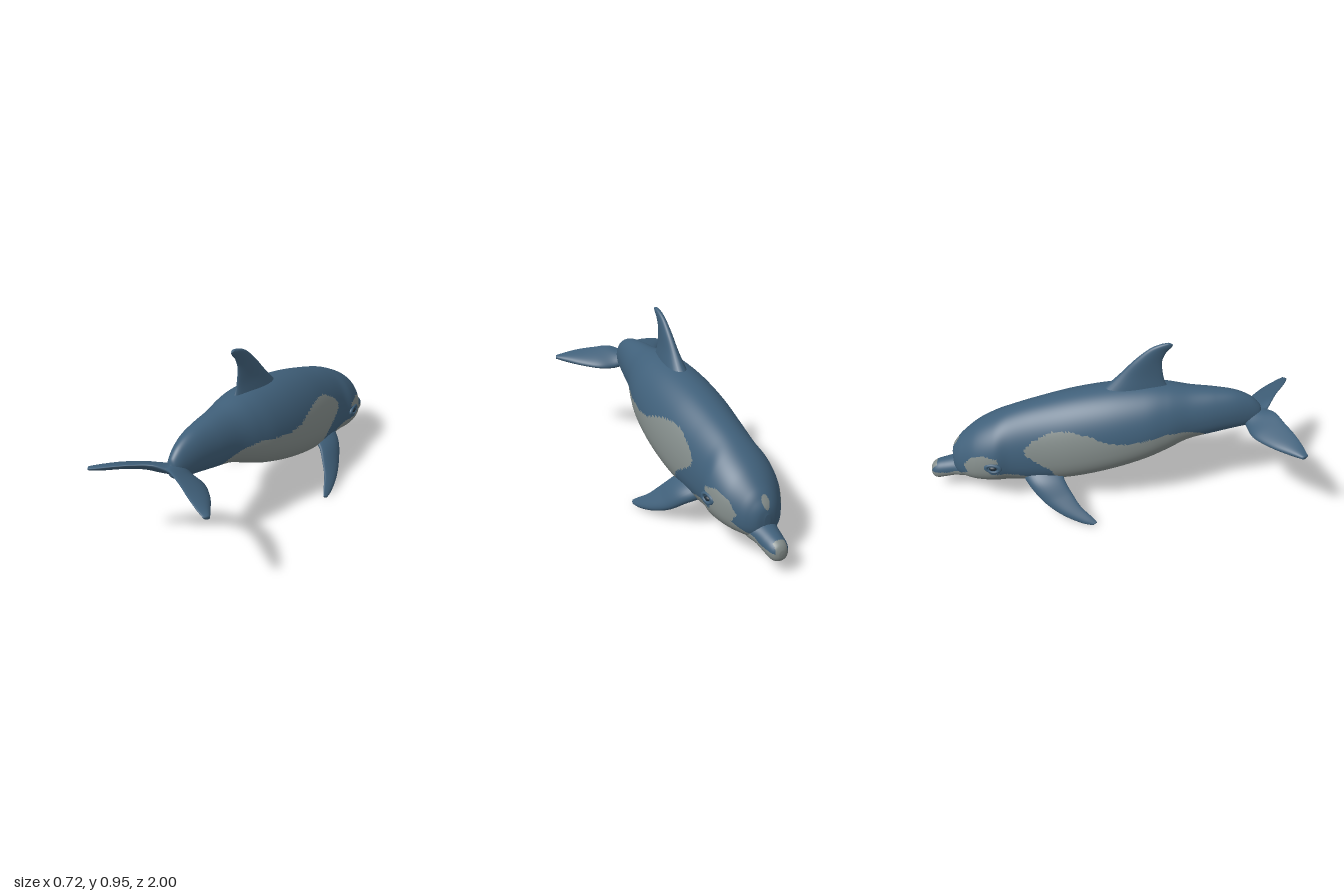
import * as THREE from 'three';

const mat = (name, color) => {
  const m = new THREE.MeshStandardMaterial({ color });
  m.name = name;
  return m;
};
const V = (x, y, z) => new THREE.Vector3(x, y, z);

// Skin a list of rings, close both ends, and sort faces into material groups
function loft(rings, classify) {
  const n = rings[0].length, pts = rings.flat(), tris = [];
  const add = (a, b, c) => tris.push([a, b, c]);
  for (let i = 0; i < rings.length - 1; i++)
    for (let j = 0; j < n; j++) {
      const a = i * n + j, b = i * n + (j + 1) % n;
      add(a, b, a + n);
      add(b, b + n, a + n);
    }
  [0, rings.length - 1].forEach((r) => {
    const mid = rings[r].reduce((s, p) => s.add(p), V(0, 0, 0)).divideScalar(n);
    const k = pts.push(mid) - 1;
    for (let j = 0; j < n; j++) {
      const a = r * n + j, b = r * n + (j + 1) % n;
      if (r) add(a, b, k); else add(b, a, k);
    }
  });
  // Turn all faces outward
  const vol = tris.reduce((s, [a, b, c]) => s + pts[a].dot(pts[b].clone().cross(pts[c])), 0);
  if (vol < 0) tris.forEach((t) => t.reverse());
  const bins = [[], []];
  tris.forEach((t) => {
    const c = V(0, 0, 0);
    t.forEach((k) => c.addScaledVector(pts[k], 1 / 3));
    bins[classify(c, Math.min(...t) % n) ? 1 : 0].push(...t);
  });
  const g = new THREE.BufferGeometry().setFromPoints(pts);
  g.setIndex(bins.flat());
  g.addGroup(0, bins[0].length, 0);
  g.addGroup(bins[0].length, bins[1].length, 1);
  g.computeVertexNormals();
  return g;
}

// Smooth uniform spline through rows of three numbers
const spline = (rows) => new THREE.CatmullRomCurve3(rows.map((r) => V(...r)), false, 'catmullrom', 0.5);

// Body rings from keys [z, top, bottom, halfWidth, widestHeight]
function bodyRings(keys, steps, sides) {
  const A = spline(keys.map((k) => [k[0], k[1], k[2]]));
  const B = spline(keys.map((k) => [k[3], k[4], 0]));
  return Array.from({ length: steps + 1 }, (_, i) => {
    const { x: z, y: top, z: bot } = A.getPoint(i / steps), { x: w, y: m } = B.getPoint(i / steps);
    const ym = bot + (top - bot) * m;
    return Array.from({ length: sides }, (_, j) => {
      const a = (j / sides) * Math.PI * 2, c = Math.cos(a), s = Math.sin(a);
      const e = c < 0 ? 0.85 : 1;
      const cy = Math.sign(c) * Math.abs(c) ** e, sx = Math.sign(s) * Math.abs(s) ** e;
      return V(sx * w, ym + cy * (c > 0 ? top - ym : ym - bot), z);
    });
  });
}

// Fin rings from keys [lead point, trail point, half thickness]
function finRings(keys, mirror = 1, steps = 40, sides = 32) {
  const L = spline(keys.map((k) => k[0])), T = spline(keys.map((k) => k[1]));
  const H = spline(keys.map((k) => [k[2], 0, 0]));
  const mid = (t) => L.getPoint(t).add(T.getPoint(t)).multiplyScalar(0.5);
  return Array.from({ length: steps + 1 }, (_, i) => {
    const t = i / steps, c = mid(t), half = T.getPoint(t).sub(c);
    const span = mid(Math.min(1, t + 0.02)).sub(mid(Math.max(0, t - 0.02)));
    const nrm = span.cross(half).normalize();
    if (nrm.y < -1e-6) nrm.negate();
    return Array.from({ length: sides }, (_, j) => {
      const a = ((j + 0.01) / sides) * Math.PI * 2, k = Math.cos(a);
      const p = c.clone().addScaledVector(half, k)
        .addScaledVector(nrm, H.getPoint(t).x * Math.sin(a) * (1 - 0.35 * k));
      p.x *= mirror;
      return p;
    });
  });
}

// Outline of the pale underside, as [z, y] seen from the side
const PALE = [[0.53, 0], [0.53, 0.4], [0.515, 0.44], [0.48, 0.47], [0.4, 0.495], [0.3, 0.5], [0.2, 0.48],
  [0.1, 0.463], [0, 0.467], [-0.1, 0.503], [-0.2, 0.52], [-0.3, 0.51], [-0.4, 0.45], [-0.45, 0.4], [-0.445, 0.365],
  [-0.36, 0.31], [-0.31, 0.28], [-0.28, 0.21], [-0.38, 0.195], [-0.47, 0.22], [-0.55, 0.232], [-0.64, 0.235],
  [-0.66, 0.29], [-0.59, 0.31], [-0.6, 0.335], [-0.68, 0.345], [-0.75, 0.31], [-0.79, 0.255], [-0.77, 0.215],
  [-0.83, 0.168], [-0.9, 0.142], [-1.05, 0.122], [-1.05, 0]];

function isPale(c) {
  let inside = false;
  PALE.forEach(([z1, y1], i) => {
    const [z2, y2] = PALE[(i + 1) % PALE.length];
    if ((y1 > c.y) !== (y2 > c.y) && c.z < z1 + ((c.y - y1) / (y2 - y1)) * (z2 - z1)) inside = !inside;
  });
  const browSpot = c.y > 0.25 && Math.hypot(c.x, c.z + 0.843) < 0.02;
  const beakTip = c.z < -0.963 && Math.abs(c.x) < 0.032;
  return inside || browSpot || beakTip;
}

export function createModel() {
  const blue = mat('slate blue skin', 0x40607a);
  const pale = mat('pale grey skin', 0x838c8a);
  const dark = mat('dark eye', 0x1d2c38);
  const skin = [blue, pale];
  const dolphin = new THREE.Group();
  dolphin.name = 'dolphin';
  const put = (name, geo, m, parent = dolphin) => {
    const mesh = new THREE.Mesh(geo, m);
    mesh.name = name;
    parent.add(mesh);
    return mesh;
  };

  // Body from melon to tail stock
  put('body', loft(bodyRings([
    [-0.868, 0.262, 0.2, 0.015, 0.5], [-0.858, 0.3, 0.16, 0.055, 0.45], [-0.835, 0.335, 0.135, 0.088, 0.42],
    [-0.8, 0.375, 0.125, 0.118, 0.4], [-0.72, 0.442, 0.124, 0.165, 0.39], [-0.62, 0.5, 0.126, 0.188, 0.39],
    [-0.53, 0.543, 0.124, 0.179, 0.4], [-0.4, 0.59, 0.125, 0.19, 0.41], [-0.2, 0.65, 0.155, 0.21, 0.41],
    [0, 0.69, 0.21, 0.212, 0.41], [0.18, 0.707, 0.275, 0.195, 0.42], [0.3, 0.705, 0.33, 0.166, 0.43],
    [0.42, 0.69, 0.39, 0.127, 0.45], [0.55, 0.682, 0.422, 0.1, 0.47], [0.66, 0.668, 0.447, 0.075, 0.47],
    [0.74, 0.635, 0.463, 0.052, 0.45], [0.79, 0.59, 0.48, 0.032, 0.45], [0.805, 0.555, 0.5, 0.012, 0.5],
  ], 240, 120), isPale), skin);

  // Beak
  put('beak', loft(bodyRings([
    [-0.68, 0.23, 0.14, 0.1, 0.5], [-0.8, 0.228, 0.113, 0.084, 0.5], [-0.86, 0.213, 0.104, 0.066, 0.5],
    [-0.92, 0.196, 0.088, 0.058, 0.5], [-0.96, 0.183, 0.078, 0.052, 0.5], [-0.985, 0.168, 0.083, 0.04, 0.5],
    [-0.997, 0.148, 0.098, 0.022, 0.5], [-1, 0.13, 0.118, 0.006, 0.5],
  ], 90, 72), isPale), skin);

  // Swept dorsal fin
  put('dorsalFin', loft(finRings([
    [[0, 0.62, -0.09], [0, 0.65, 0.33], 0.06], [[0, 0.7, -0.01], [0, 0.72, 0.29], 0.042],
    [[0, 0.77, 0.055], [0, 0.775, 0.275], 0.029], [[0, 0.85, 0.125], [0, 0.845, 0.268], 0.021],
    [[0, 0.915, 0.195], [0, 0.9, 0.287], 0.015], [[0, 0.945, 0.25], [0, 0.93, 0.312], 0.012],
    [[0, 0.957, 0.295], [0, 0.947, 0.32], 0.006],
  ]), () => false), skin);

  [[1, 'left'], [-1, 'right']].forEach(([s, side]) => {
    // Flipper, pale on its inner face
    put(side + 'Flipper', loft(finRings([
      [[0.12, 0.2, -0.48], [0.12, 0.25, -0.26], 0.04], [[0.19, 0.155, -0.425], [0.185, 0.205, -0.24], 0.034],
      [[0.245, 0.09, -0.345], [0.235, 0.145, -0.195], 0.026], [[0.29, 0.045, -0.25], [0.275, 0.092, -0.15], 0.02],
      [[0.32, 0.017, -0.15], [0.307, 0.048, -0.09], 0.014], [[0.332, 0.01, -0.085], [0.325, 0.025, -0.062], 0.007],
    ], s), (c, j) => j > 17 && j < 30 && c.y > 0.03), skin);

    // Tail fluke
    put(side + 'Fluke', loft(finRings([
      [[-0.01, 0.5, 0.71], [-0.01, 0.545, 0.83], 0.03], [[0.07, 0.475, 0.73], [0.055, 0.57, 0.868], 0.024],
      [[0.16, 0.478, 0.755], [0.14, 0.562, 0.908], 0.019], [[0.25, 0.488, 0.83], [0.22, 0.548, 0.95], 0.017],
      [[0.315, 0.496, 0.91], [0.29, 0.53, 0.98], 0.015], [[0.36, 0.505, 0.97], [0.345, 0.514, 0.998], 0.009],
    ], s), () => false), skin);

    // Eye with a raised lid
    const eye = new THREE.Group();
    eye.name = side + 'Eye';
    eye.position.set(s * 0.183, 0.277, -0.622);
    eye.rotation.y = s * 0.12;
    dolphin.add(eye);
    put('eyeball', new THREE.SphereGeometry(1, 24, 16), dark, eye).scale.set(0.013, 0.013, 0.022);
    const lid = put('eyelid', new THREE.TorusGeometry(0.03, 0.01, 12, 32), blue, eye);
    lid.rotation.y = Math.PI / 2;
    lid.scale.set(1.25, 0.75, 1);
  });

  return dolphin;
}
